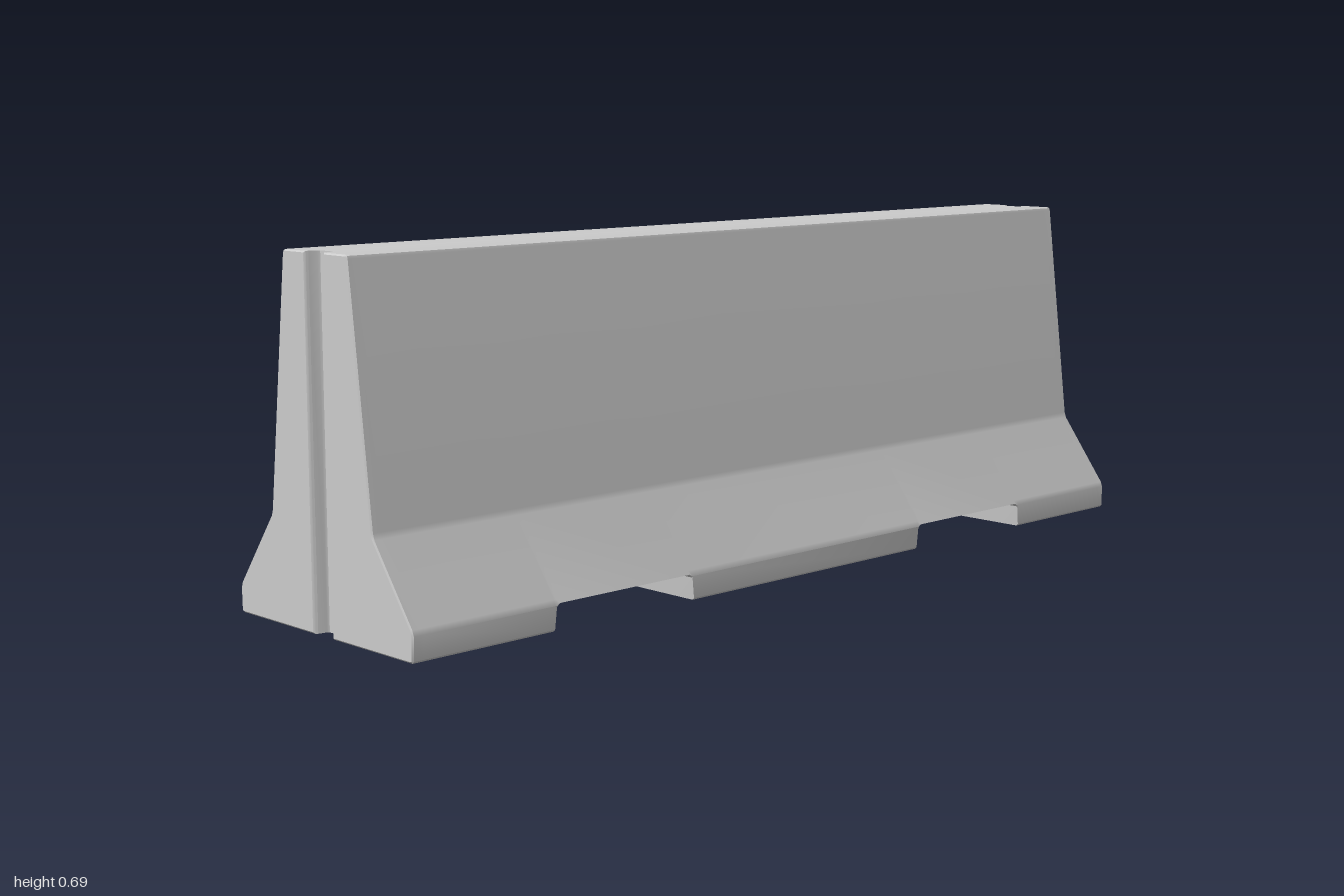
import * as THREE from 'three';
import { toCreasedNormals } from 'three/addons/utils/BufferGeometryUtils.js';

const HEIGHT = 0.693;
const NOTCH = 0.052; // height of the openings under the barrier

// Outer half profile from the bottom edge to the top edge, softened at corners
const PROFILE = [
  [0.261, 0], [0.265, 0.004], [0.266, 0.048], [0.262, 0.059],
  [0.158, 0.2], [0.154, 0.212], [0.098, 0.686], [0.096, 0.691], [0.091, HEIGHT],
];

// Stations from the middle to one end: z, inner x (end groove), floor height, edge inset
const HALF_STATIONS = [
  [0.33, 0, 0, 0], [0.335, 0, 0.045, 0], [0.342, 0, NOTCH, 0],
  [0.668, 0, NOTCH, 0], [0.675, 0, 0.045, 0], [0.68, 0, 0, 0],
  [0.972, 0, 0, 0], [0.972, 0.02, 0, 0], [0.976, 0.023, 0, 0],
  [0.993, 0.026, 0, 0], [0.997, 0.028, 0, 0], [1, 0.032, 0, 0.003],
];

// Cross-section of one half, counterclockwise seen from +z
function section([z, inner, floor, inset]) {
  const points = [[inner, 0], ...PROFILE, [inner, HEIGHT]];
  return points.map(([x, y], i) => new THREE.Vector3(
    i > 0 && i <= PROFILE.length ? x - inset : x,
    Math.min(Math.max(y, floor + inset), HEIGHT - inset),
    z,
  ));
}

function halfBarrierGeometry() {
  const mirrored = HALF_STATIONS.map(([z, ...rest]) => [-z, ...rest]).reverse();
  const stations = [...mirrored, ...HALF_STATIONS];
  const sections = stations.map(section);
  const positions = [];
  const triangle = new THREE.Triangle();
  const addTriangle = (a, b, c) => {
    if (triangle.set(a, b, c).getArea() < 1e-9) return;
    for (const p of [a, b, c]) positions.push(p.x, p.y, p.z);
  };

  // Skin between neighbouring sections; the hidden centre plane stays open
  for (let s = 0; s < sections.length - 1; s++) {
    const near = sections[s], far = sections[s + 1];
    const hasGroove = stations[s][1] > 0 || stations[s + 1][1] > 0;
    const count = hasGroove ? near.length : near.length - 1;
    for (let i = 0; i < count; i++) {
      const j = (i + 1) % near.length;
      addTriangle(near[i], near[j], far[j]);
      addTriangle(near[i], far[j], far[i]);
    }
  }

  // End faces
  const back = sections[0], front = sections[sections.length - 1];
  const outline = front.map((p) => new THREE.Vector2(p.x, p.y));
  for (const [a, b, c] of THREE.ShapeUtils.triangulateShape(outline, [])) {
    addTriangle(front[a], front[b], front[c]);
    addTriangle(back[c], back[b], back[a]);
  }

  const geometry = new THREE.BufferGeometry();
  geometry.setAttribute('position', new THREE.Float32BufferAttribute(positions, 3));
  return toCreasedNormals(geometry, 0.6);
}

export function createModel() {
  const model = new THREE.Group();
  model.name = 'roadBarrier';
  const material = new THREE.MeshStandardMaterial({ color: 0xcccccc });
  const geometry = halfBarrierGeometry();

  // The barrier is symmetric end to end, so a half turn gives the other side
  const leftHalf = new THREE.Mesh(geometry, material);
  leftHalf.name = 'leftHalf';
  const rightHalf = new THREE.Mesh(geometry, material);
  rightHalf.name = 'rightHalf';
  rightHalf.rotation.y = Math.PI;
  model.add(leftHalf, rightHalf);
  return model;
}
